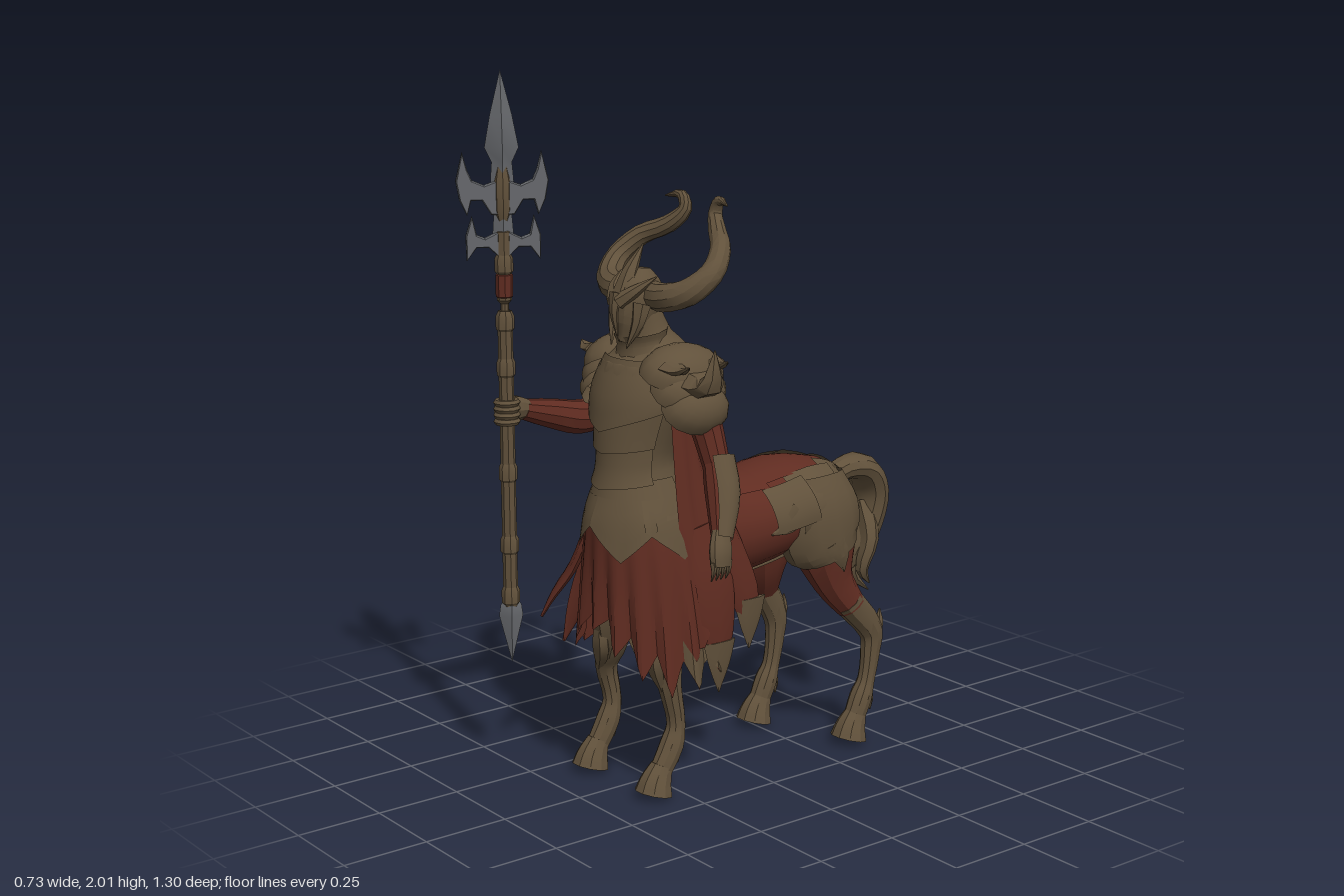
import * as THREE from 'three';
import { toCreasedNormals } from 'three/addons/utils/BufferGeometryUtils.js';

const material = (name, color) => {
  const m = new THREE.MeshStandardMaterial({ color, side: THREE.DoubleSide });
  m.name = name;
  return m;
};
const lerp = THREE.MathUtils.lerp;
const rnd = (i) => { const s = Math.sin(i * 127.1 + 3.7) * 43758.5453; return s - Math.floor(s); };

export function createModel() {
  const root = new THREE.Group();
  root.name = 'centaurWarrior';
  const brown = material('bronzeBrown', 0x61513b);
  const red = material('darkRed', 0x602c21);
  const steel = material('steel', 0x66686c);

  const add = (name, geo, mat, parent = root) => {
    const mesh = new THREE.Mesh(toCreasedNormals(geo, 0.55), mat);
    mesh.name = name;
    parent.add(mesh);
    return mesh;
  };
  const grid = (verts, index) => {
    const g = new THREE.BufferGeometry();
    g.setAttribute('position', new THREE.Float32BufferAttribute(verts, 3));
    g.setIndex(index);
    return g;
  };

  // Loft of ellipses along a smooth path; rows are [x, y, z, r, r2]; an arc gives an open shell
  function limb(name, mat, rows, { sides = 10, side = [1, 0, 0], arc } = {}) {
    const path = new THREE.CatmullRomCurve3(rows.map((p) => new THREE.Vector3(p[0], p[1], p[2])));
    const size = new THREE.CatmullRomCurve3(rows.map((p) => new THREE.Vector3(p[3], p[4] ?? p[3], 0)), false, 'catmullrom');
    const steps = (rows.length - 1) * 3, [a0, a1] = arc ?? [0, Math.PI * 2];
    const verts = [], index = [], w = sides + 1;
    for (let i = 0; i <= steps; i++) {
      const t = i / steps, c = path.getPoint(t), r = size.getPoint(t), T = path.getTangent(t);
      const u = new THREE.Vector3(...side).addScaledVector(T, -T.dot(new THREE.Vector3(...side))).normalize();
      const v = T.clone().cross(u);
      for (let j = 0; j <= sides; j++) {
        const a = lerp(a0, a1, j / sides);
        verts.push(...c.clone().addScaledVector(u, Math.cos(a) * Math.max(r.x, 0.001))
          .addScaledVector(v, Math.sin(a) * Math.max(r.y, 0.001)).toArray());
        if (i < steps && j < sides) {
          const k = i * w + j;
          index.push(k, k + 1, k + w + 1, k, k + w + 1, k + w);
        }
      }
    }
    if (!arc) {
      const n = verts.length / 3, e = steps * w;
      verts.push(...path.getPoint(0).toArray(), ...path.getPoint(1).toArray());
      for (let j = 0; j < sides; j++) index.push(n, j + 1, j, n + 1, e + j, e + j + 1);
    }
    return add(name, grid(verts, index), mat);
  }

  // Cloth or plate from a rule f(u, v) -> [x, y, z]
  function sheet(name, mat, nu, nv, f) {
    const verts = [], index = [], w = nv + 1;
    for (let i = 0; i <= nu; i++) for (let j = 0; j <= nv; j++) {
      verts.push(...f(i / nu, j / nv));
      if (i < nu && j < nv) { const k = i * w + j; index.push(k, k + w, k + w + 1, k, k + w + 1, k + 1); }
    }
    return add(name, grid(verts, index), mat);
  }
  const sample = (rows, key, val) => {
    let i = 0;
    while (i < rows.length - 2 && (val - rows[i + 1][key]) * (rows[1][key] - rows[0][key]) > 0) i++;
    const t = THREE.MathUtils.clamp((val - rows[i][key]) / (rows[i + 1][key] - rows[i][key]), 0, 1);
    return rows[i].map((a, k) => lerp(a, rows[i + 1][k], t));
  };
  // Tapered point through a, b, c; flat is its thickness relative to its width
  const spike = (name, a, b, c, r, { mat = brown, side = [0, 0, 1], flat = 1 } = {}) =>
    limb(name, mat, [[...a, r, r * flat], [...b, r * 0.65, r * 0.65 * flat], [...c, 0.002]], { sides: 6, side });

  // Horse body
  const barrel = [[0, 0.62, 0.37, 0.07, 0.08], [0, 0.64, 0.26, 0.14, 0.15], [0, 0.695, 0.1, 0.16, 0.155],
    [0, 0.695, 0, 0.16, 0.145], [0, 0.705, -0.12, 0.162, 0.135], [0, 0.73, -0.23, 0.175, 0.132],
    [0, 0.73, -0.33, 0.145, 0.118], [0, 0.725, -0.4, 0.1, 0.085], [0, 0.72, -0.44, 0.05, 0.05]];
  limb('horseBody', red, barrel, { sides: 18 });
  const shell = (name, mat, z0, z1, g0, g1, arc) => limb(name, mat, [0, 0.5, 1].map((t) => {
    const b = sample(barrel, 2, lerp(z0, z1, t)), g = lerp(g0, g1, t);
    return [b[0], b[1], b[2], b[3] + g, b[4] + g];
  }), { sides: 8, arc });
  shell('bellyPlate', brown, 0.1, -0.3, 0.008, 0.008, [0.95, 2.19]);
  shell('saddleCloth', red, 0.13, -0.1, 0.008, 0.012, [-2.3, -0.84]);
  shell('saddleClothRear', red, -0.07, -0.36, 0.008, 0.012, [-2.2, -0.94]);
  for (const s of [1, -1]) {
    const arc = (a, b) => (s > 0 ? [a, b] : [Math.PI - b, Math.PI - a]);
    shell('flankPlate', brown, -0.08, -0.22, 0.008, 0.018, arc(-0.85, 0.1));
    shell('rumpPlate', brown, -0.17, -0.32, 0.01, 0.024, arc(-0.98, 0.6));
    shell('rearPlate', brown, -0.28, -0.43, 0.018, 0.012, arc(-1.2, 0.95));
    shell('croupPlate', brown, -0.36, -0.44, 0.015, 0.008, arc(-1.58, -1.1));
    // Hip armour hanging over the thigh
    limb('hipPlate', brown, [[s * 0.09, 0.82, -0.27, 0.07, 0.1], [s * 0.106, 0.73, -0.275, 0.088, 0.14],
      [s * 0.108, 0.64, -0.285, 0.09, 0.135], [s * 0.108, 0.59, -0.305, 0.086, 0.105]], { sides: 14, arc: [0, Math.PI * 2] });
    spike('hipPlatePoint', [s * 0.187, 0.64, -0.28], [s * 0.188, 0.595, -0.3], [s * 0.178, 0.54, -0.32], 0.05, { flat: 0.2 });
    spike('flankPlatePoint', [s * 0.166, 0.74, -0.16], [s * 0.168, 0.71, -0.12], [s * 0.162, 0.69, -0.06], 0.04, { side: [0, 1, 0], flat: 0.2 });
  }

  // Legs
  function hoof(x, z) {
    limb('hoof', brown, [[x, 0, z, 0.055, 0.055], [x, 0.03, z - 0.008, 0.046, 0.048], [x, 0.075, z - 0.03, 0.03, 0.034]]);
    spike('fetlockTuft', [x, 0.14, z - 0.055], [x, 0.11, z - 0.08], [x, 0.07, z - 0.085], 0.022, { side: [1, 0, 0] });
  }
  for (const [x, dz] of [[0.125, -0.01], [-0.155, 0.01]]) {
    const k = Math.sign(x) * 0.105;
    limb('frontLeg', brown, [[k, 0.64, 0.25 + dz, 0.055, 0.08], [k, 0.5, 0.3 + dz, 0.055, 0.062], [k * 1.1, 0.38, 0.29 + dz, 0.045, 0.048],
      [x, 0.3, 0.285 + dz, 0.034, 0.034], [x, 0.19, 0.265 + dz, 0.027, 0.028], [x, 0.13, 0.28 + dz, 0.034, 0.036], [x, 0.05, 0.325 + dz, 0.03, 0.034]]);
    limb('kneeGuard', brown, [[k * 1.1, 0.44, 0.335 + dz, 0.02, 0.012], [k * 1.1, 0.37, 0.33 + dz, 0.036, 0.02], [x, 0.29, 0.308 + dz, 0.008, 0.008]], { sides: 6 });
    hoof(x, 0.345 + dz);
  }
  for (const [x, dz] of [[0.135, -0.13], [-0.155, 0]]) {
    const k = Math.sign(x) * 0.1;
    limb('hindThigh', red, [[k, 0.72, -0.28, 0.065, 0.1], [k * 1.1, 0.61, -0.275 + dz * 0.2, 0.072, 0.108],
      [k * 1.2, 0.5, -0.27 + dz * 0.45, 0.053, 0.066], [x, 0.41, -0.29 + dz * 0.75, 0.04, 0.046]]);
    limb('hindShank', brown, [[x, 0.43, -0.28 + dz * 0.7, 0.04, 0.047], [x, 0.32, -0.335 + dz, 0.034, 0.04], [x, 0.26, -0.335 + dz, 0.029, 0.032],
      [x, 0.17, -0.32 + dz, 0.026, 0.027], [x, 0.12, -0.3 + dz, 0.034, 0.035], [x, 0.05, -0.27 + dz, 0.03, 0.034]]);
    spike('hockPoint', [x, 0.31, -0.345 + dz], [x, 0.34, -0.365 + dz], [x, 0.38, -0.37 + dz], 0.025);
    hoof(x, -0.252 + dz);
  }

  // Tail
  limb('tail', brown, [[0, 0.75, -0.39, 0.035, 0.04], [-0.01, 0.785, -0.47, 0.04, 0.035], [-0.025, 0.775, -0.56, 0.07, 0.042],
    [-0.035, 0.7, -0.605, 0.072, 0.045], [-0.035, 0.6, -0.59, 0.06, 0.047], [-0.03, 0.51, -0.54, 0.045, 0.038], [-0.03, 0.45, -0.51, 0.004]]);
  for (const [x, y, z] of [[-0.09, 0.5, -0.58], [0.02, 0.42, -0.56], [-0.03, 0.38, -0.6]])
    limb('tailLock', brown, [[-0.035, 0.66, -0.58, 0.035], [x, 0.56, -0.56, 0.028], [x, (y + 0.52) / 2, -0.53, 0.02], [x, y, z, 0.002]], { sides: 6 });

  // Torso and its plates
  const torso = [[0, 0.7, 0.265, 0.15, 0.165], [0, 0.79, 0.275, 0.142, 0.152], [0, 0.92, 0.29, 0.1, 0.11], [0, 1.0, 0.285, 0.112, 0.115],
    [0, 1.13, 0.262, 0.155, 0.13], [0, 1.22, 0.245, 0.14, 0.115], [0, 1.28, 0.255, 0.07, 0.07], [0, 1.36, 0.28, 0.05, 0.055]];
  limb('torso', brown, torso, { sides: 18 });
  const plate = (name, mid, half, top, bottom, dip, g0, g1) => sheet(name, brown, 16, 4, (u, v) => {
    const a = mid + lerp(-half, half, u), y = lerp(top, bottom - dip * (1 - Math.abs(u * 2 - 1)), v);
    const t = sample(torso, 1, y), g = lerp(g0, g1, v);
    return [t[0] + Math.cos(a) * (t[3] + g), y, t[2] + Math.sin(a) * (t[4] + g)];
  });
  const front = Math.PI / 2;
  plate('breastPlate', front, 1.35, 1.23, 1.1, 0.07, 0.006, 0.022);
  plate('backPlate', -front, 1.35, 1.23, 1.1, 0.08, 0.006, 0.018);
  plate('upperBellyPlate', front, 1.3, 1.1, 0.99, 0.02, 0.004, 0.014);
  plate('lowerBellyPlate', front, 1.3, 1.0, 0.89, 0.02, 0.004, 0.014);
  plate('beltPlate', front, 1.9, 0.9, 0.8, 0.03, 0.004, 0.016);
  for (const a of [front - 0.6, front + 0.6, front - 1.6, front + 1.6]) plate('hipTasset', a, 0.6, 0.85, 0.77, 0.09, 0.01, 0.026);
  limb('collar', brown, [[0, 1.22, 0.26, 0.1, 0.09], [0, 1.27, 0.27, 0.075, 0.07], [0, 1.3, 0.275, 0.08, 0.075]], { arc: [0, Math.PI * 2], sides: 12 });

  // Ragged skirt, hem and cape
  const jag = (u, n) => { const q = u * n, k = Math.floor(q); return (1 - Math.abs((q - k) * 2 - 1)) * (0.04 + 0.08 * rnd(k)); };
  const skirt = (u, v, grow = 0) => {
    const a = lerp(-0.5, Math.PI + 0.5, u), s = Math.max(Math.sin(a), 0), w = v ** 0.6;
    const fold = 1 + v * 0.06 * Math.sin(a * 17) + grow;
    const flare = Math.max(-Math.cos(a), 0) * 0.022;
    return [Math.cos(a) * lerp(0.15, 0.205 + flare, w) * fold, lerp(0.8, 0.39 + 0.12 * s ** 3 - jag(u, 11), v),
      lerp(0.265, 0.225, w) + Math.sin(a) * lerp(0.165, 0.21 + flare, w) * fold];
  };
  sheet('skirt', red, 66, 6, (u, v) => skirt(u, v));
  for (const start of [0.02, 0.82]) sheet('skirtHem', brown, 12, 2, (u, v) => skirt(start + u * 0.16, 0.84 + v * 0.16, 0.012));
  sheet('cape', red, 48, 12, (u, v) => {
    const a = lerp(-0.1, Math.PI + 0.1, u), s = Math.max(Math.sin(a), 0), w = v ** 3;
    const fold = 1 + v * 0.05 * Math.sin(a * 15);
    return [Math.cos(a) * lerp(0.13, 0.2, v) * fold, lerp(1.14, lerp(0.44, 0.845, Math.min(1, s * 1.3)) - jag(u, 9) * (1 - s), v),
      lerp(0.262, 0.22, w) - Math.sin(a) * lerp(0.13, 0.18, w) * fold];
  });
  // Wide loose panels, rows run from hip to ragged tip
  const panel = (side, rows) => limb('clothPanel', red, rows, { sides: 8, side });
  panel([0.8, 0, 0.6], [[-0.13, 0.74, 0.35, 0.04, 0.02], [-0.19, 0.6, 0.38, 0.06, 0.014], [-0.215, 0.52, 0.43, 0.045, 0.01], [-0.215, 0.46, 0.475, 0.004]]);
  panel([0.3, 0, 1], [[-0.15, 0.74, 0.28, 0.05, 0.02], [-0.215, 0.58, 0.3, 0.07, 0.014], [-0.235, 0.46, 0.34, 0.05, 0.01], [-0.245, 0.36, 0.38, 0.004]]);
  for (const s of [1, -1]) {
    panel([0, 0, 1], [[s * 0.155, 0.76, 0.2, 0.05, 0.02], [s * 0.192, 0.6, 0.17, 0.065, 0.014], [s * 0.2, 0.44, 0.16, 0.05, 0.01], [s * 0.195, 0.32, 0.155, 0.004]]);
    panel([0, 0, 1], [[s * 0.155, 0.8, 0.14, 0.04, 0.02], [s * 0.18, 0.62, 0.08, 0.05, 0.014], [s * 0.185, 0.52, 0.05, 0.045, 0.01], [s * 0.18, 0.41, 0.035, 0.004]]);
    for (const [x, y, z] of [[0.2, 0.28, 0.158], [0.185, 0.38, 0.038]])
      spike('panelTip', [s * x, y + 0.15, z], [s * x, y + 0.08, z], [s * (x - 0.004), y, z], 0.056, { flat: 0.24 });
  }

  // Arms
  limb('leftUpperArm', red, [[0.17, 1.17, 0.23, 0.06], [0.205, 1.06, 0.21, 0.046], [0.24, 0.95, 0.2, 0.038]], { side: [0, 0, 1] });
  limb('leftForearm', red, [[0.235, 0.97, 0.2, 0.036], [0.267, 0.89, 0.21, 0.042], [0.315, 0.78, 0.245, 0.027]], { side: [0, 0, 1] });
  limb('leftBracer', brown, [[0.235, 0.97, 0.196, 0.05], [0.275, 0.88, 0.208, 0.05], [0.322, 0.77, 0.248, 0.032]], { side: [0, 0, 1], arc: [-Math.PI, -0.75], sides: 8 });
  limb('leftHand', brown, [[0.315, 0.79, 0.245, 0.026, 0.02], [0.335, 0.74, 0.26, 0.036, 0.022], [0.34, 0.7, 0.265, 0.03, 0.02]], { side: [0, 0, 1] });
  for (let i = 0; i < 4; i++) spike('leftFinger', [0.34, 0.715, 0.237 + i * 0.017], [0.342, 0.69, 0.238 + i * 0.017], [0.33, 0.66, 0.24 + i * 0.016], 0.011);
  limb('rightUpperArm', brown, [[-0.17, 1.17, 0.24, 0.06], [-0.24, 1.08, 0.215, 0.046], [-0.3, 1.02, 0.215, 0.03]], { side: [0, 0, 1] });
  limb('rightForearm', red, [[-0.31, 1.0, 0.185, 0.044], [-0.318, 0.995, 0.27, 0.05], [-0.312, 1.02, 0.37, 0.043], [-0.295, 1.05, 0.475, 0.03]]);
  spike('elbowSpike', [-0.315, 1.01, 0.23], [-0.313, 1.01, 0.2], [-0.305, 1.04, 0.16], 0.04, { mat: red, side: [1, 0, 0] });
  limb('rightHand', brown, [[-0.297, 1.05, 0.46, 0.028], [-0.296, 1.055, 0.5, 0.034, 0.038], [-0.285, 1.055, 0.55, 0.03, 0.036]]);
  for (let i = 0; i < 4; i++) {
    const f = add('rightFinger', new THREE.TorusGeometry(0.028, 0.01, 6, 12), brown);
    f.position.set(-0.28, 1.027 + i * 0.018, 0.535);
    f.rotation.x = Math.PI / 2;
  }

  // Layered pauldrons
  for (const s of [1, -1]) {
    for (let i = 0; i < 3; i++) {
      const p = add('pauldron', new THREE.SphereGeometry(1, 14, 6, 0, Math.PI * 2, 0, 1.55), brown);
      p.scale.set(0.095 - i * 0.008, 0.082, 0.13 - i * 0.012);
      p.position.set(s * (0.13 + i * 0.027), 1.19 - i * 0.045, 0.235);
      p.rotation.z = -s * (0.45 + i * 0.22);
    }
    for (const z of [0.17, 0.3]) spike('pauldronPoint', [s * 0.17, 1.225, z], [s * 0.215, 1.22, z], [s * 0.25, 1.235, z], 0.045, { flat: 0.4 });
  }
  spike('leftPauldronHorn', [0.18, 1.18, 0.24], [0.265, 1.18, 0.24], [0.285, 1.28, 0.24], 0.07, { flat: 0.6 });

  // Head, helmet and horns
  limb('head', brown, [[0, 1.265, 0.325, 0.02, 0.025], [0, 1.31, 0.305, 0.045, 0.055], [0, 1.38, 0.285, 0.06, 0.075],
    [0, 1.43, 0.275, 0.052, 0.065], [0, 1.47, 0.27, 0.02, 0.025]], { sides: 12 });
  spike('noseGuard', [0, 1.41, 0.355], [0, 1.36, 0.365], [0, 1.29, 0.355], 0.02, { side: [1, 0, 0] });
  spike('helmetCrest', [0, 1.4, 0.33], [0, 1.46, 0.31], [0, 1.535, 0.265], 0.034, { side: [1, 0, 0] });
  for (const s of [1, -1]) {
    spike('browSpike', [s * 0.01, 1.385, 0.355], [s * 0.05, 1.42, 0.325], [s * 0.08, 1.455, 0.28], 0.024);
    spike('cheekGuard', [s * 0.053, 1.38, 0.31], [s * 0.055, 1.33, 0.325], [s * 0.035, 1.26, 0.35], 0.028);
    limb('horn', brown, [[s * 0.04, 1.4, 0.26, 0.038], [s * 0.11, 1.4, 0.27, 0.04], [s * 0.18, 1.42, 0.24, 0.038], [s * 0.212, 1.47, 0.185, 0.033],
      [s * 0.18, 1.525, 0.13, 0.029], [s * 0.11, 1.56, 0.085, 0.026], [s * 0.068, 1.605, 0.06, 0.02], [s * 0.085, 1.642, 0.06, 0.015], [s * 0.14, 1.635, 0.075, 0.002]],
    { side: [0, 0.6, 1] }).position.x = -0.012;
  }

  // Spear
  const spear = new THREE.Group();
  spear.name = 'spear';
  spear.position.set(-0.28, 0, 0.535);
  spear.rotation.y = 1.09;
  root.add(spear);
  const turned = (name, mat, pts, sides, flat = 1) =>
    add(name, new THREE.LatheGeometry(pts.map(([r, y]) => new THREE.Vector2(r, y)), sides), mat, spear).scale.set(1, 1, flat);
  turned('shaft', brown, [[0, 0.48], [0.021, 0.49], [0.021, 1.33], [0.012, 1.34], [0.012, 1.36], [0.021, 1.37], [0.021, 1.56], [0, 1.57]], 8);
  for (const y of [0.52, 0.67, 0.88, 1.18, 1.31, 1.47])
    turned('shaftCollar', brown, [[0.019, y - 0.03], [0.026, y - 0.02], [0.026, y + 0.015], [0.019, y + 0.03]], 8);
  turned('shaftWrap', red, [[0.018, 1.375], [0.024, 1.38], [0.024, 1.44], [0.018, 1.445]], 8);
  turned('spearButt', steel, [[0, 0.32], [0.034, 0.46], [0.03, 0.49], [0.018, 0.51]], 4, 0.8);
  turned('spearHead', steel, [[0.018, 1.48], [0.03, 1.54], [0.024, 1.62], [0.032, 1.7], [0.028, 1.75], [0.047, 1.79], [0.03, 1.88], [0, 2]], 4, 0.65);
  turned('headCore', brown, [[0.012, 1.58], [0.024, 1.62], [0.024, 1.7], [0.012, 1.76]], 8);
  const blades = {
    upperBlade: [[0.01, 1.7], [0.05, 1.685], [0.085, 1.7], [0.098, 1.73], [0.108, 1.775], [0.124, 1.7], [0.115, 1.65], [0.098, 1.61], [0.088, 1.65], [0.055, 1.65], [0.03, 1.61], [0.01, 1.61]],
    lowerBlade: [[0.01, 1.56], [0.05, 1.54], [0.075, 1.55], [0.085, 1.6], [0.1, 1.55], [0.1, 1.485], [0.075, 1.52], [0.04, 1.52], [0.01, 1.49]],
  };
  for (const [name, pts] of Object.entries(blades)) for (const s of [1, -1]) {
    const shape = new THREE.Shape(pts.map(([x, y]) => new THREE.Vector2(s * x, y)));
    const geo = new THREE.ExtrudeGeometry(shape, { depth: 0.012, bevelEnabled: true, bevelThickness: 0.008, bevelSize: 0.003, bevelSegments: 1 });
    add(name, geo.translate(0, 0, -0.006), steel, spear);
  }
  return root;
}
